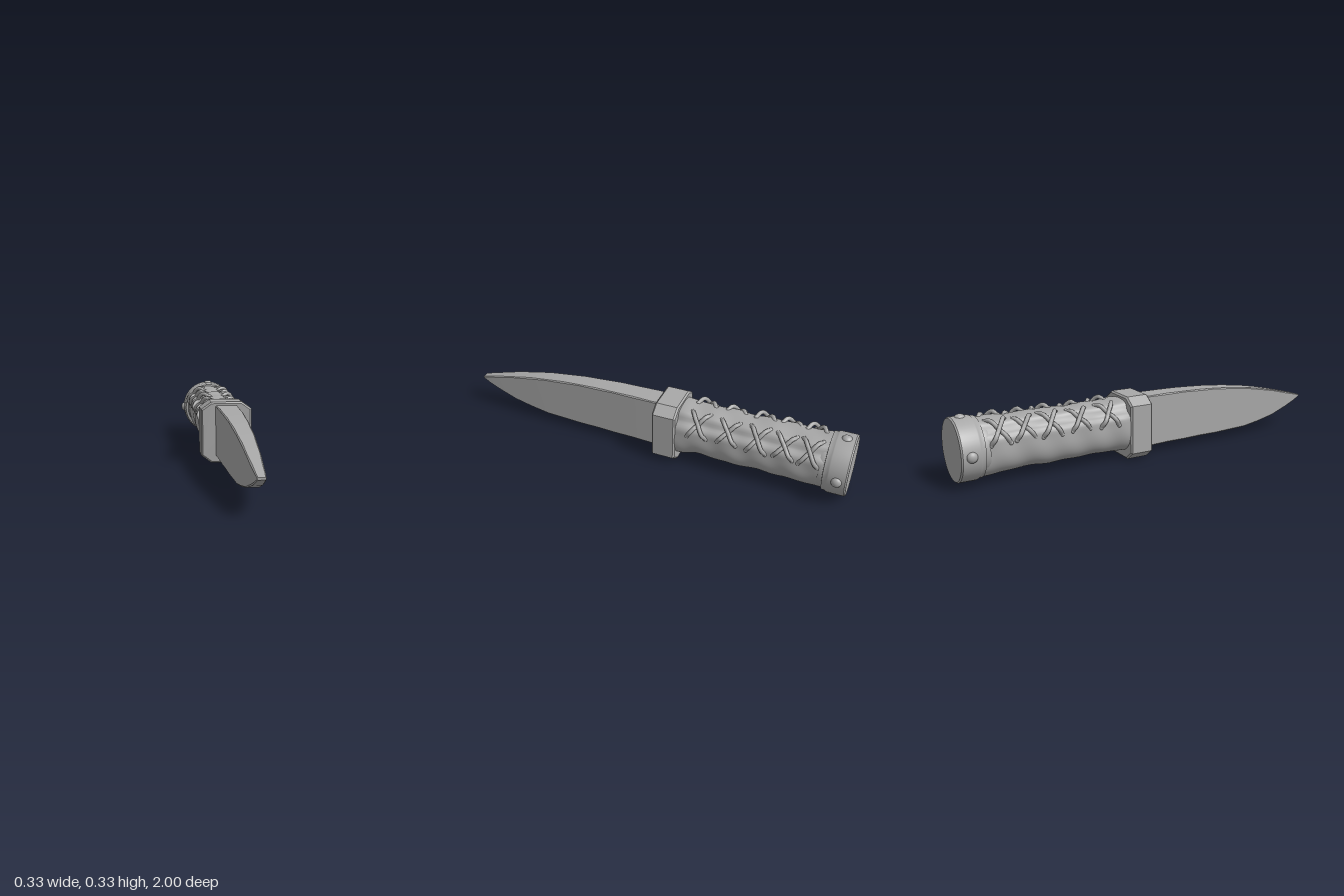
import * as THREE from 'three';
import { toCreasedNormals } from 'three/addons/utils/BufferGeometryUtils.js';

const AXIS_Y = 0.165;
const DEG = Math.PI / 180;

// Skin a series of counter-clockwise rings running towards +z, with end caps
function loft(rings) {
  const n = rings[0].length, index = [];
  for (let k = 0; k < rings.length - 1; k++) {
    for (let j = 0; j < n; j++) {
      const a = k * n + j, b = k * n + (j + 1) % n;
      index.push(a, b, b + n, a, b + n, a + n);
    }
  }
  const last = (rings.length - 1) * n;
  for (let j = 1; j < n - 1; j++) {
    index.push(0, j + 1, j, last, last + j, last + j + 1);
  }
  const geometry = new THREE.BufferGeometry();
  geometry.setAttribute('position', new THREE.Float32BufferAttribute(rings.flat(2), 3));
  geometry.setIndex(index);
  geometry.computeVertexNormals();
  return geometry;
}

// Handle surface: soft leather tube with a sunken seam on each upper side
function handlePoint(angle, z, lift = 0) {
  const t = (-z - 0.15) / 0.75;
  const flare = 0.009 * Math.exp(-(((t - 0.04) / 0.08) ** 2)) + 0.006 * t * t;
  const c = Math.cos(angle), s = Math.sin(angle);
  const round = Math.pow(Math.abs(c) ** 2.4 + Math.abs(s) ** 2.4, -1 / 2.4);
  let bump = flare + 0.0022 * Math.sin(z * 23 + angle * 2) + 0.0018 * Math.sin(z * 41 - angle * 3);
  if (s < 0) bump += 0.003 * s * Math.sin(z * 17);
  for (const seam of [42, 138]) {
    const d = (angle / DEG - seam) / 9;
    bump -= 0.011 * Math.exp(-d * d);
    bump += 0.004 * Math.exp(-((Math.abs(d) - 2) ** 2));
  }
  return [c * (0.115 * round + bump + lift), AXIS_Y + s * (0.124 * round + bump + lift), z];
}

export function createModel() {
  const model = new THREE.Group();
  const steel = new THREE.MeshStandardMaterial({ color: 0xa8a8a8 });
  steel.name = 'plain grey';
  const add = (name, geometry, parent = model) => {
    const mesh = new THREE.Mesh(geometry, steel);
    mesh.name = name;
    parent.add(mesh);
    return mesh;
  };

  // Blade: thick slab tapering to a narrow, blunt tip (z, spine y, edge y, half width)
  const profile = [
    [-0.08, 0.297, 0.038, 0.056], [0, 0.297, 0.038, 0.055], [0.1, 0.297, 0.039, 0.053],
    [0.2, 0.295, 0.04, 0.051], [0.3, 0.291, 0.04, 0.048], [0.4, 0.285, 0.04, 0.045],
    [0.5, 0.275, 0.041, 0.042], [0.6, 0.262, 0.045, 0.039], [0.7, 0.245, 0.058, 0.035],
    [0.8, 0.223, 0.08, 0.031], [0.9, 0.198, 0.113, 0.026], [0.96, 0.182, 0.139, 0.022],
    [1, 0.17, 0.159, 0.018],
  ];
  const bladeRings = profile.map(([z, top, low, w], i) => {
    const b = Math.min(i % 2 ? 0.004 : 0.006, (top - low) * 0.3);
    return [
      [w, low + b, z], [w, top - b, z], [w - b, top, z], [b - w, top, z],
      [-w, top - b, z], [-w, low + b, z], [b - w, low, z], [w - b, low, z],
    ];
  });
  add('blade', toCreasedNormals(loft(bladeRings), 0.4));

  // Guard: block with cut corners and a fine bevel
  const v = 0.008;
  const outline = [
    [0.08, 0], [0.13, 0.038], [0.13, 0.28], [0.08, 0.315],
    [-0.08, 0.315], [-0.13, 0.28], [-0.13, 0.038], [-0.08, 0],
  ];
  const guardShape = new THREE.Shape(outline.map(([x, y]) => new THREE.Vector2(
    x * (1 - v / 0.13), 0.1575 + (y - 0.1575) * (1 - v / 0.1575))));
  const guard = new THREE.ExtrudeGeometry(guardShape, {
    depth: 0.105, bevelEnabled: true, bevelThickness: v, bevelSize: v, bevelSegments: 1,
  });
  guard.translate(0, 0, -0.15);
  add('guard', guard);

  // Leather handle
  const handleRings = [];
  for (let k = 0; k <= 56; k++) {
    const z = -0.9 + 0.76 * k / 56;
    handleRings.push(Array.from({ length: 72 }, (_, j) => handlePoint(j * 5 * DEG, z)));
  }
  add('handle', loft(handleRings));

  // Crossed laces over both seams
  const laces = new THREE.Group();
  laces.name = 'laces';
  model.add(laces);
  [-0.265, -0.415, -0.56, -0.69, -0.81].forEach((z, i) => {
    for (const side of [1, -1]) {
      for (const slant of [1, -1]) {
        const points = [];
        for (let k = 0; k <= 6; k++) {
          const u = k / 3 - 1;
          const angle = (42 + u * (29 - (i % 2) * 3)) * DEG;
          const lift = -0.006 + (slant > 0 ? 0.024 : 0.015) * (1 - u ** 4);
          const p = handlePoint(angle, z + slant * u * 0.046, lift);
          points.push(new THREE.Vector3(side * p[0], p[1], p[2]));
        }
        const curve = new THREE.CatmullRomCurve3(points);
        add('lace', new THREE.TubeGeometry(curve, 18, 0.0105, 8), laces);
        // Rounded knots where the lace enters the leather
        for (const end of [points[0], points[6]]) {
          add('laceEnd', new THREE.SphereGeometry(0.012, 10, 8), laces).position.copy(end);
        }
      }
    }
  });

  // Pommel cap with a stepped collar
  const capProfile = [
    [0, 0.86], [0.125, 0.86], [0.129, 0.872], [0.129, 0.884], [0.142, 0.886], [0.144, 0.904],
    [0.147, 0.908], [0.149, 0.914], [0.149, 0.993], [0.144, 1], [0, 1],
  ].map(([r, h]) => new THREE.Vector2(r, h));
  const cap = new THREE.LatheGeometry(capProfile, 48);
  cap.rotateX(-Math.PI / 2);
  cap.translate(0, AXIS_Y, 0);
  add('pommel', toCreasedNormals(cap, 0.6));

  // Domed rivets on the top and sides of the pommel
  for (const angle of [0, 90, 180]) {
    const rivet = add('rivet', new THREE.SphereGeometry(0.025, 20, 12));
    const a = angle * DEG, r = angle === 90 ? 0.143 : 0.148;
    rivet.position.set(Math.cos(a) * r, AXIS_Y + Math.sin(a) * r, -0.953);
    rivet.rotation.z = a;
    rivet.scale.x = 0.72;
  }
  return model;
}
